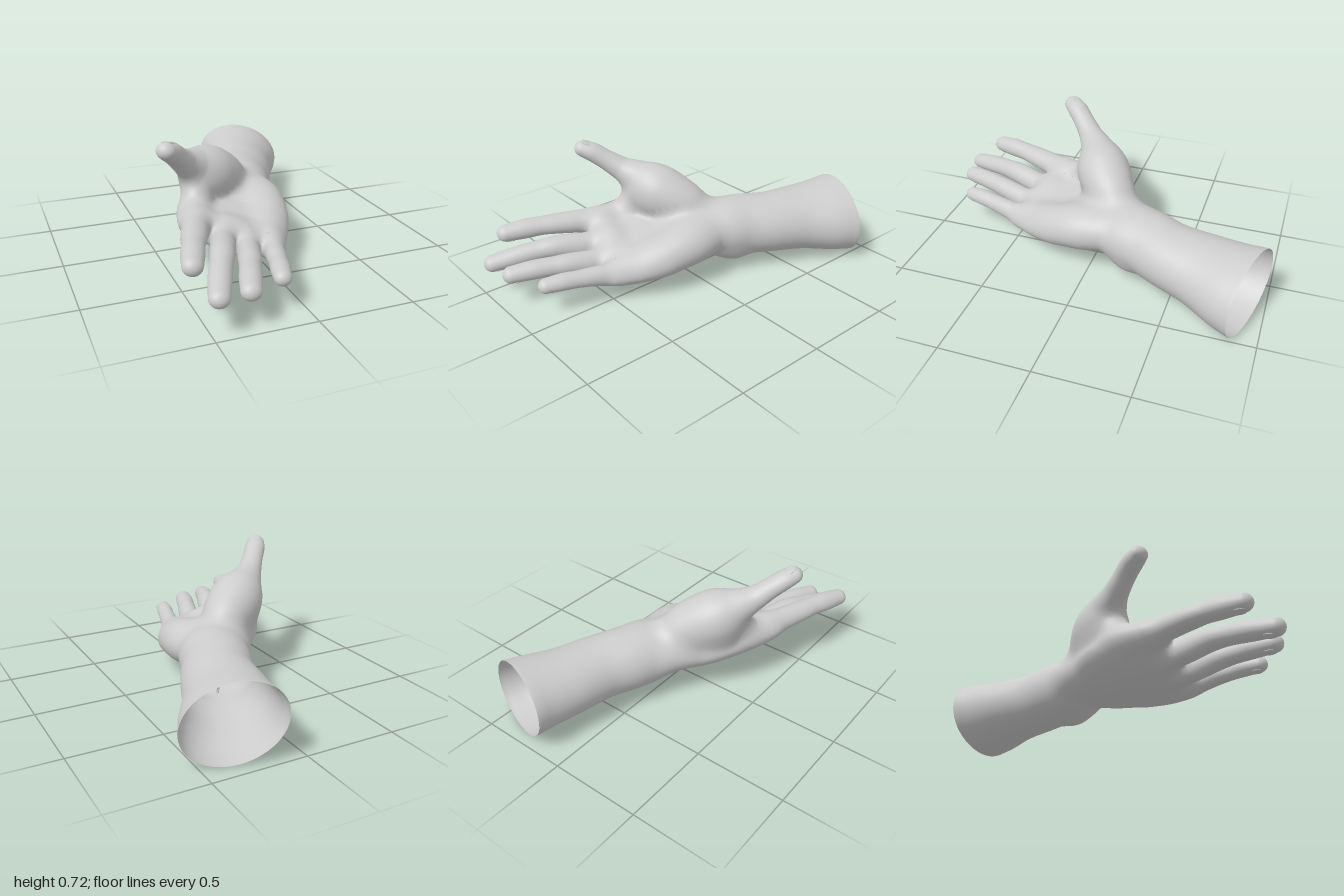
import * as THREE from 'three';

const skin = new THREE.MeshStandardMaterial({ color: 0xcccccc, side: THREE.DoubleSide });
skin.name = 'skin';

const UP = new THREE.Vector3(0, 1, 0);

// Each limb is a list of sections [x, y, z, halfWidth, halfHeight, roll]
const BODY = {
  forearmAndPalm: [
    [0.343, 0.207, -0.92, 0.26, 0.201, 0.3], [0.324, 0.207, -0.86, 0.249, 0.195, 0.28],
    [0.252, 0.212, -0.685, 0.215, 0.176, 0.2], [0.183, 0.219, -0.475, 0.191, 0.168, 0.1],
    [0.114, 0.225, -0.335, 0.187, 0.17, 0.03], [0.075, 0.23, -0.235, 0.19, 0.166, 0],
    [0.025, 0.24, -0.14, 0.198, 0.14, 0.03], [-0.03, 0.23, 0.01, 0.245, 0.135, 0.1],
    [-0.085, 0.222, 0.12, 0.28, 0.125, 0.2], [-0.14, 0.212, 0.25, 0.288, 0.11, 0.25],
    [-0.182, 0.206, 0.36, 0.272, 0.085, 0.28], [-0.198, 0.206, 0.4, 0.25, 0.06, 0.28]],
  thumb: [
    [0.03, 0.25, -0.22, 0.05, 0.05], [-0.005, 0.3, -0.15, 0.085, 0.085],
    [-0.085, 0.37, -0.06, 0.13, 0.13], [-0.19, 0.43, 0.02, 0.15, 0.15],
    [-0.285, 0.495, 0.085, 0.103, 0.103], [-0.365, 0.55, 0.155, 0.07, 0.067],
    [-0.43, 0.61, 0.225, 0.06, 0.055], [-0.473, 0.65, 0.275, 0.06, 0.053],
    [-0.507, 0.673, 0.32, 0.051, 0.044]],
  thumbWeb: [
    [-0.15, 0.38, -0.04, 0.08, 0.08], [-0.22, 0.4, 0.04, 0.105, 0.11],
    [-0.275, 0.385, 0.1, 0.08, 0.095], [-0.32, 0.315, 0.19, 0.072, 0.07],
    [-0.36, 0.288, 0.3, 0.06, 0.055], [-0.385, 0.285, 0.39, 0.045, 0.04]],
  heelPad: [
    [0.09, 0.24, -0.15, 0.05, 0.05], [0.1, 0.245, -0.06, 0.098, 0.09],
    [0.105, 0.235, 0.06, 0.112, 0.108], [0.07, 0.205, 0.2, 0.11, 0.102],
    [0.02, 0.168, 0.34, 0.08, 0.085], [-0.002, 0.152, 0.43, 0.046, 0.048]],
  fingerRootPads: [
    [-0.35, 0.28, 0.33, 0.055, 0.055], [-0.25, 0.235, 0.355, 0.06, 0.062],
    [-0.13, 0.19, 0.37, 0.06, 0.062], [-0.03, 0.16, 0.39, 0.05, 0.055]],
  wristBone: [
    [0.15, 0.15, -0.31, 0.06, 0.06], [0.145, 0.132, -0.25, 0.08, 0.075],
    [0.135, 0.15, -0.19, 0.06, 0.06]]
};

const FINGERS = {
  indexFinger: [
    [-0.32, 0.27, 0.2, 0.055, 0.055], [-0.385, 0.288, 0.38, 0.068, 0.066],
    [-0.452, 0.3, 0.56, 0.064, 0.056], [-0.48, 0.302, 0.64, 0.057, 0.052],
    [-0.505, 0.3, 0.71, 0.058, 0.054], [-0.543, 0.293, 0.825, 0.05, 0.046]],
  middleFinger: [
    [-0.2, 0.22, 0.25, 0.055, 0.055], [-0.262, 0.21, 0.44, 0.064, 0.07],
    [-0.338, 0.23, 0.64, 0.062, 0.06], [-0.376, 0.222, 0.73, 0.056, 0.053],
    [-0.41, 0.21, 0.81, 0.057, 0.053], [-0.466, 0.185, 0.955, 0.05, 0.045]],
  ringFinger: [
    [-0.09, 0.18, 0.25, 0.055, 0.055], [-0.135, 0.164, 0.45, 0.059, 0.07],
    [-0.2, 0.185, 0.65, 0.058, 0.058], [-0.231, 0.187, 0.73, 0.054, 0.052],
    [-0.262, 0.186, 0.81, 0.055, 0.052], [-0.307, 0.178, 0.93, 0.05, 0.045]],
  littleFinger: [
    [0.04, 0.165, 0.27, 0.05, 0.055], [0, 0.15, 0.46, 0.052, 0.062],
    [-0.047, 0.162, 0.62, 0.05, 0.05], [-0.067, 0.166, 0.69, 0.047, 0.046],
    [-0.086, 0.168, 0.75, 0.049, 0.046], [-0.112, 0.165, 0.838, 0.043, 0.04]]
};

// Hollow of the palm: how far the upper side sinks at x (-1..1) across, t along
function palmDent(x, t) {
  const s = THREE.MathUtils.smoothstep;
  return 0.3 * Math.max(0, 1 - x * x) * s(t, 0.6, 0.74) * (1 - s(t, 0.82, 1));
}
const noDent = () => 0;

function makeLimb(name, rows) {
  const limb = {
    name, dent: name === 'forearmAndPalm' ? palmDent : noDent,
    path: new THREE.CatmullRomCurve3(rows.map(r => new THREE.Vector3(r[0], r[1], r[2]))),
    sizes: new THREE.CatmullRomCurve3(rows.map(r => new THREE.Vector3(r[3], r[4], r[5] || 0))),
    box: new THREE.Box3()
  };
  limb.frames = Array.from({ length: 201 }, (_, i) => frameAt(limb, i / 200));
  for (const f of limb.frames) limb.box.expandByPoint(f.pos);
  limb.box.expandByScalar(Math.max(...limb.frames.map(f => Math.max(f.w, f.h))));
  return limb;
}

// Centre, half sizes and axes of a limb at t
function frameAt(limb, t) {
  const size = limb.sizes.getPoint(t);
  const dir = limb.path.getTangent(t);
  const flat = new THREE.Vector3().crossVectors(UP, dir).normalize();
  const rise = new THREE.Vector3().crossVectors(dir, flat);
  const c = Math.cos(size.z), s = Math.sin(size.z);
  return {
    t, dir, pos: limb.path.getPoint(t), w: size.x, h: size.y,
    side: flat.clone().multiplyScalar(c).addScaledVector(rise, -s),
    up: rise.clone().multiplyScalar(c).addScaledVector(flat, s)
  };
}

// Approximate distance from p to a limb
const FAR = 0.12;
function limbDistance(limb, p) {
  if (limb.box.distanceToPoint(p) > FAR) return FAR;
  let best = FAR;
  for (const { t, pos, side, up, dir, w, h } of limb.frames) {
    const dx = p.x - pos.x, dy = p.y - pos.y, dz = p.z - pos.z;
    const a = (dx * side.x + dy * side.y + dz * side.z) / w;
    let b = (dx * up.x + dy * up.y + dz * up.z) / h;
    const c = (dx * dir.x + dy * dir.y + dz * dir.z) / h;
    if (b > 0) b /= 1 - limb.dent(a, t);
    const d = (Math.sqrt(a * a + b * b + c * c) - 1) * Math.min(w, h);
    if (d < best) best = d;
  }
  return best;
}

function softMin(a, b, k) {
  const m = Math.max(k - Math.abs(a - b), 0) / k;
  return Math.min(a, b) - m * m * k / 4;
}

// Distance to the whole hand with soft joins; fingers barely merge with each other
function handDistance(body, fingers, p) {
  const palm = body.reduce((d, l) => softMin(d, limbDistance(l, p), 0.06), FAR * 2);
  const digits = fingers.reduce((d, l) => softMin(d, limbDistance(l, p), 0.012), FAR * 2);
  return softMin(palm, digits, 0.04);
}

// Skin over the sections with a rounded far end, settled onto the softly joined surface
function loft(limb, steps, sides, distance) {
  const domeSteps = 8, rings = steps + domeSteps, eps = 0.008;
  const pos = [], nor = [], index = [];
  const grad = new THREE.Vector3(), q = new THREE.Vector3();
  const slope = p => {
    const d = distance(p);
    grad.set(distance(q.copy(p).setX(p.x + eps)) - d, distance(q.copy(p).setY(p.y + eps)) - d,
      distance(q.copy(p).setZ(p.z + eps)) - d).divideScalar(eps);
    return d;
  };
  for (let i = 0; i <= rings; i++) {
    const f = frameAt(limb, Math.min(i / steps, 1));
    const a = Math.max(0, i - steps) / domeSteps * 1.56;
    f.pos.addScaledVector(f.dir, Math.sin(a) * f.h);
    for (let j = 0; j < sides; j++) {
      const angle = j / sides * Math.PI * 2;
      const x = Math.cos(angle);
      let y = Math.sin(angle);
      if (y > 0) y *= 1 - limb.dent(x, f.t);
      const p = f.pos.clone().addScaledVector(f.side, x * f.w * Math.cos(a))
        .addScaledVector(f.up, y * f.h * Math.cos(a));
      grad.copy(f.up);
      if (distance(p) > -0.05) {
        for (let n = 0; n < 3; n++) {
          const d = slope(p);
          const move = THREE.MathUtils.clamp(d / Math.max(grad.lengthSq(), 0.3), -0.03, 0.03);
          p.addScaledVector(grad, -move);
        }
        slope(p);
      }
      grad.normalize();
      pos.push(p.x, p.y, p.z);
      nor.push(grad.x, grad.y, grad.z);
      if (i < rings) {
        const k = (j + 1) % sides, n = i * sides, m = n + sides;
        index.push(n + j, n + k, m + k, n + j, m + k, m + j);
      }
    }
  }
  const g = new THREE.BufferGeometry();
  g.setAttribute('position', new THREE.Float32BufferAttribute(pos, 3));
  g.setAttribute('normal', new THREE.Float32BufferAttribute(nor, 3));
  g.setIndex(index);
  const mesh = new THREE.Mesh(g, skin);
  mesh.name = limb.name;
  return mesh;
}

// Thin domed nail set into the skin near the tip; face is +1 above, -1 below
function nail(limb, face) {
  const f = frameAt(limb, 0.96);
  const mesh = new THREE.Mesh(new THREE.SphereGeometry(1, 20, 12), skin);
  mesh.name = limb.name + 'Nail';
  mesh.scale.set(f.w * 0.6, f.h * 0.16, f.h * 0.85);
  mesh.quaternion.setFromRotationMatrix(new THREE.Matrix4().makeBasis(f.side, f.up, f.dir));
  mesh.position.copy(f.pos).addScaledVector(f.up, face * f.h * 0.87);
  return mesh;
}

export function createModel() {
  const hand = new THREE.Group();
  hand.name = 'openHand';
  const build = set => Object.entries(set).map(([name, rows]) => makeLimb(name, rows));
  const body = build(BODY), fingers = build(FINGERS);
  const distance = p => handDistance(body, fingers, p);

  // Hollow forearm with palm, then the thumb, its web and the pads
  for (const limb of body) {
    const main = limb.name === 'forearmAndPalm';
    hand.add(loft(limb, main ? 90 : 40, main ? 64 : 32, distance));
    if (limb.name === 'thumb') hand.add(nail(limb, 1));
  }
  // Fingers with nails on the back of the hand
  for (const limb of fingers) hand.add(loft(limb, 44, 28, distance), nail(limb, -1));
  return hand;
}
